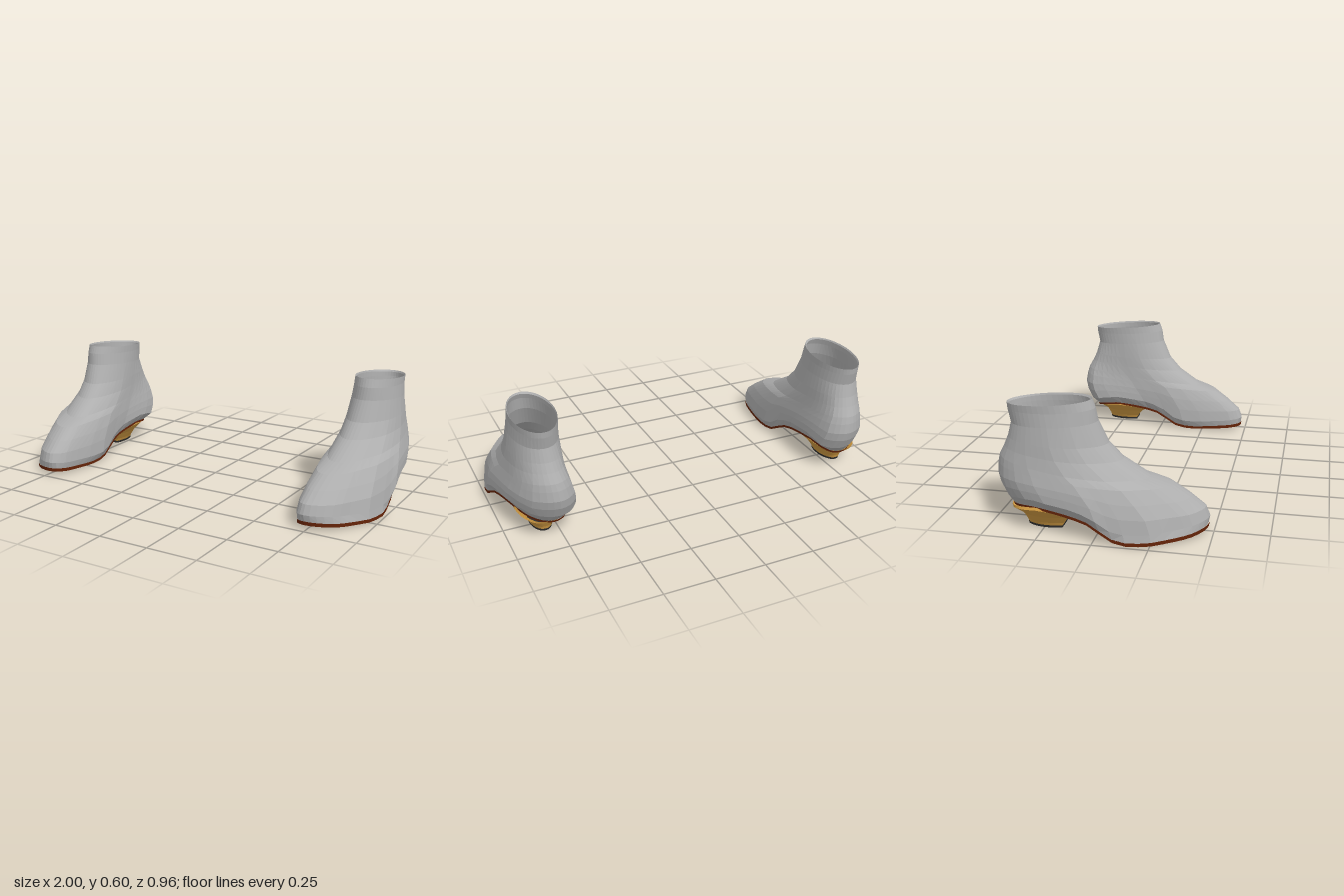
import * as THREE from 'three';

const mat = (name, color, side = THREE.FrontSide) =>
  new THREE.MeshStandardMaterial({ name, color, side, flatShading: true });

const lerp = THREE.MathUtils.lerp;
const N = 48, H = N / 2;

// Edges of the foot and of the sole, toe to heel, at 15 degree steps
const footPlan = {
  outer: [-.735, -.79, -.85, -.9, -.96, -.985, -1, -.985, -.97, -.94, -.895, -.83, -.77],
  inner: [-.735, -.70, -.675, -.66, -.645, -.638, -.655, -.668, -.668, -.668, -.675, -.72, -.77],
};
const solePlan = {
  outer: [-.74, -.80, -.86, -.912, -.965, -.988, -.985, -.965, -.945, -.925, -.89, -.84, -.79],
  inner: [-.74, -.70, -.68, -.668, -.658, -.658, -.67, -.685, -.692, -.697, -.71, -.74, -.79],
};

// Edge position at a fractional step
function edge(list, k) {
  const i = Math.min(Math.floor(k), list.length - 2);
  return lerp(list[i], list[i + 1], k - i);
}

// Height of the sole's underside along z
const arch = [[.48, .022], [.4, .011], [.2, 0], [.12, .004], [.07, .02], [0, .073],
  [-.1, .097], [-.2, .108], [-.27, .114], [-.35, .104], [-.42, .086]];
function soleY(z) {
  if (z >= arch[0][0]) return arch[0][1];
  for (let i = 1; i < arch.length; i++) {
    const [z0, y0] = arch[i - 1], [z1, y1] = arch[i];
    if (z >= z1) return lerp(y0, y1, (z - z0) / (z1 - z0));
  }
  return arch[arch.length - 1][1];
}

// Ring between a front and a back point; m blends the plan into the oval collar,
// follow says how much the ring bends along the sole
function ring(plan, [fz, fy, bz, by, m, follow]) {
  const pts = [];
  for (let i = 0; i < N; i++) {
    const a = i / N * Math.PI * 2, k = (i <= H ? i : N - i) * 12 / H;
    const t = (1 - Math.cos(a)) / 2, z = lerp(fz, bz, t);
    const x = lerp(edge(i <= H ? plan.outer : plan.inner, k), -.81 - .108 * Math.sin(a), m);
    const bend = soleY(z) - lerp(soleY(fz), soleY(bz), t);
    pts.push([x, lerp(fy, by, t) + follow * bend, z]);
  }
  return pts;
}

// D-shaped heel ring, flat in front and tapered to the back; y is a function of z
function heelRing(fz, bz, w, taper, y) {
  const pts = [];
  for (let i = 0; i < N; i++) {
    const a = i / N * Math.PI * 2, c = Math.cos(a), s = Math.sin(a);
    const z = (fz + bz) / 2 + (fz - bz) / 2 * Math.min(1, c * (c > 0 ? 1.4 : 1));
    const across = Math.sign(s) * Math.abs(s) ** .85 * (1 - taper * (1 - c) / 2);
    pts.push([-.815 - w * across, y(z), z]);
  }
  return pts;
}

// Skin over rows of points, bottom to top; side -1 mirrors it to the other foot
function loft(name, rows, material, side, closed = true) {
  const n = rows[0].length, index = [];
  for (let r = 0; r < rows.length - 1; r++) {
    for (let i = 0; i < (closed ? n : n - 1); i++) {
      const j = (i + 1) % n, a = r * n + i, b = r * n + j, c = a + n, d = b + n;
      if (side > 0) index.push(a, c, b, b, c, d);
      else index.push(a, b, c, b, d, c);
    }
  }
  const g = new THREE.BufferGeometry();
  const flat = rows.flat().flatMap(([x, y, z]) => [x * side, y, z]);
  g.setAttribute('position', new THREE.Float32BufferAttribute(flat, 3));
  g.setIndex(index);
  g.computeVertexNormals();
  const mesh = new THREE.Mesh(g, material);
  mesh.name = name;
  return mesh;
}

// The two halves of a ring, as rows for a flat cover
const outerHalf = (r) => r.slice(0, H + 1);
const innerHalf = (r) => [r[0], ...r.slice(H).reverse()];

// Upper levels: front z, front y, back z, back y, collar blend, sole follow
const levels = [
  [.48, .07, -.445, .14, 0, 1],
  [.462, .115, -.472, .195, .05, .6],
  [.4, .165, -.482, .24, .15, .3],
  [.32, .22, -.475, .29, .32, 0],
  [.22, .252, -.465, .325, .48, 0],
  [.1, .33, -.44, .37, .67, 0],
  [.035, .4, -.42, .415, .77, 0],
  [-.01, .5, -.402, .48, .92, 0],
  [-.02, .56, -.415, .54, 1, 0],
  [-.035, .6, -.418, .57, 1, 0],
  [-.042, .592, -.412, .562, 1.06, 0],
];

function buildBoot(name, side, m) {
  const boot = new THREE.Group();
  boot.name = name;

  // Upper with open collar
  const base = ring(solePlan, [.474, .038, -.408, .099, 0, 1]);
  boot.add(loft('upper', [base, ...levels.map((l) => ring(footPlan, l))], m.leather, side));

  // Sole edge and underside
  const top = ring(solePlan, [.478, .04, -.412, .1, 0, 1]);
  const bottom = ring(solePlan, [.476, .022, -.408, .089, 0, 1]);
  boot.add(loft('soleEdge', [bottom, top], m.welt, side));
  boot.add(loft('outsole', [innerHalf(bottom), outerHalf(bottom)], m.outsole, side, false));

  // Hollow flared heel
  boot.add(loft('heel', [
    heelRing(-.167, -.335, .06, .25, () => .012),
    heelRing(-.16, -.34, .068, .2, () => .03),
    heelRing(-.13, -.36, .09, .12, () => .065),
    heelRing(-.09, -.4, .122, 0, (z) => soleY(z) - .003),
    heelRing(-.03, -.405, .118, 0, (z) => soleY(z) + .008),
  ], m.heel, side));

  // Heel tip
  const tipLow = heelRing(-.167, -.334, .06, .25, () => .004);
  const tipHigh = heelRing(-.165, -.336, .062, .25, () => .015);
  boot.add(loft('heelTipEdge', [tipLow, tipHigh], m.rubber, side));
  boot.add(loft('heelTipBottom', [innerHalf(tipLow), outerHalf(tipLow)], m.rubber, side, false));
  boot.add(loft('heelTipTop', [outerHalf(tipHigh), innerHalf(tipHigh)], m.rubber, side, false));
  return boot;
}

export function createModel() {
  const m = {
    leather: mat('grey leather', 0xaeaeae, THREE.DoubleSide),
    welt: mat('dark red brown', 0x662408),
    outsole: mat('brown sole', 0xb87c5e),
    heel: mat('golden wood', 0xd09a42, THREE.DoubleSide),
    rubber: mat('black rubber', 0x2c2c2c),
  };
  const model = new THREE.Group();
  model.name = 'ankleBoots';
  model.add(buildBoot('rightBoot', 1, m), buildBoot('leftBoot', -1, m));
  return model;
}
